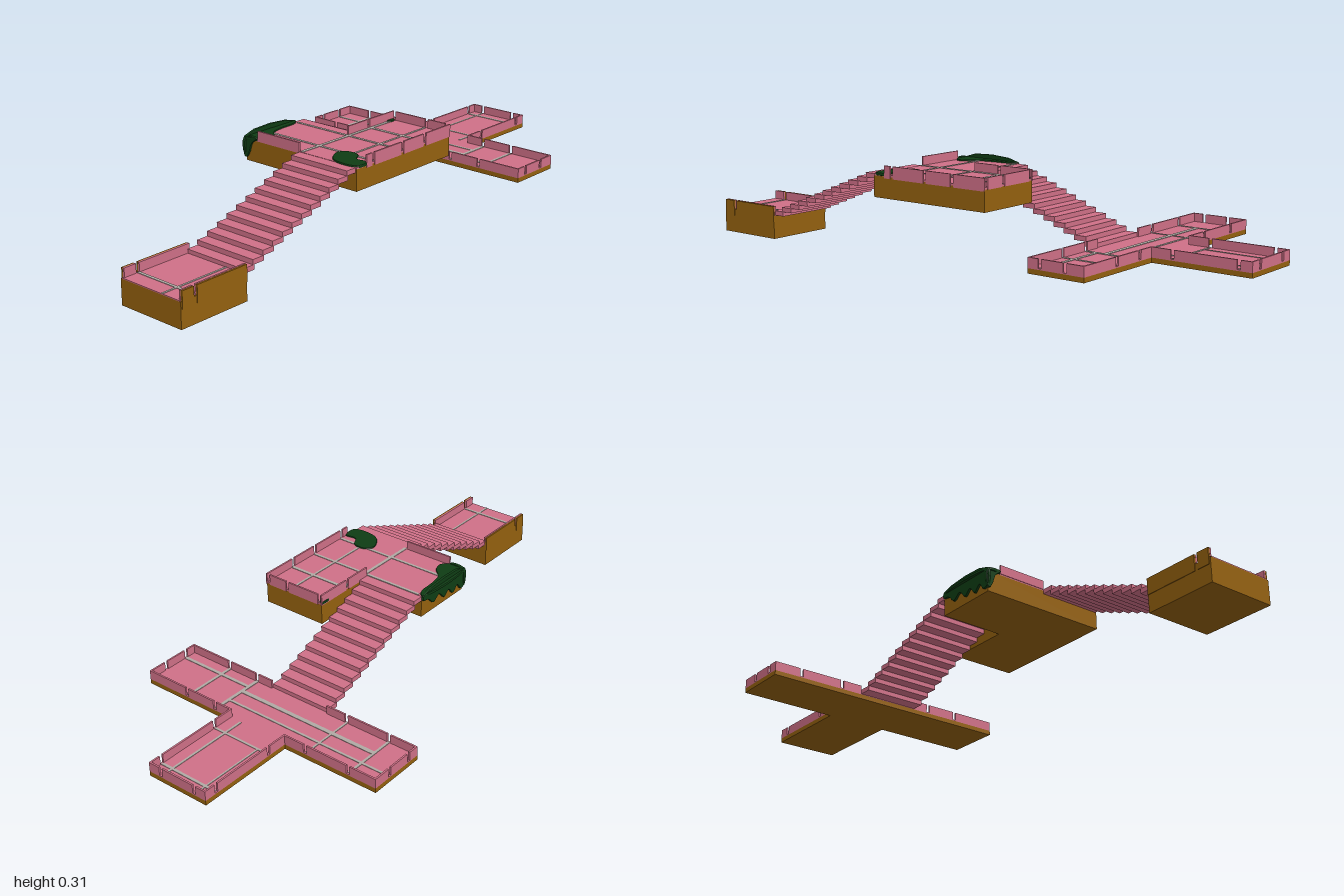
import * as THREE from 'three';

const mat = (color, extra = {}) => new THREE.MeshStandardMaterial({ color, ...extra });

export function createModel() {
  const root = new THREE.Group();
  const pink = mat(0xcf7087), brown = mat(0x94610f), grey = mat(0xb0aaa4), green = mat(0x0f3d14);

  const add = (parent, name, geo, material) => {
    const m = new THREE.Mesh(geo, material);
    m.name = name;
    parent.add(m);
    return m;
  };
  const group = (name) => {
    const g = new THREE.Group();
    g.name = name;
    root.add(g);
    return g;
  };
  // Box given by its limits on each axis
  const box = (parent, name, material, x0, x1, y0, y1, z0, z1) => {
    const g = new THREE.BoxGeometry(x1 - x0, y1 - y0, z1 - z0);
    g.translate((x0 + x1) / 2, (y0 + y1) / 2, (z0 + z1) / 2);
    return add(parent, name, g, material);
  };
  // Slab with a plan outline of [x, z] points
  const slab = (parent, name, material, pts, y0, y1) => {
    const shape = new THREE.Shape(pts.map(([x, z]) => new THREE.Vector2(x, -z)));
    const g = new THREE.ExtrudeGeometry(shape, { depth: y1 - y0, bevelEnabled: false });
    g.rotateX(-Math.PI / 2).translate(0, y0, 0);
    return add(parent, name, g, material);
  };
  // Parapet along one axis, broken by narrow gaps where joints meet it
  const T = 0.006, GAP = 0.012;
  const parapet = (parent, axis, from, to, at, y0, y1, gaps = [], material = pink) => {
    const cuts = gaps.filter((g) => g > from && g < to).sort((a, b) => a - b);
    let start = from;
    for (const c of [...cuts, to + GAP / 2]) {
      const end = c - GAP / 2;
      if (end > start) {
        if (axis === 'x') box(parent, 'parapet', material, start, end, y0, y1, at, at + T);
        else box(parent, 'parapet', material, at, at + T, y0, y1, start, end);
      }
      start = c + GAP / 2;
    }
  };
  // Pale joints on a floor: [x0, x1, z0, z1]
  const joints = (parent, y, list) => list.forEach(([x0, x1, z0, z1]) =>
    box(parent, 'floorJoint', grey, x0, x1, y - 0.001, y + 0.0015, z0, z1));
  // Straight flight of thin open treads rising from zLow to zHigh
  const stairs = (name, x0, x1, zLow, zHigh, yLow, yHigh, n) => {
    const g = group(name), dz = (zHigh - zLow) / n, dy = (yHigh - yLow) / n;
    for (let i = 0; i < n; i++) {
      const a = zLow + dz * i, b = a + dz * 1.12, y = yLow + dy * i;
      box(g, 'tread', pink, x0, x1, y, y + dy, Math.min(a, b), Math.max(a, b));
    }
  };

  // Front landing: brown block, side walls brown outside and pink inside
  const landing = group('frontLanding');
  box(landing, 'landingBase', brown, 0.11, 0.356, 0, 0.083, 0.745, 1);
  box(landing, 'landingFloor', pink, 0.115, 0.351, 0.083, 0.086, 0.745, 1);
  parapet(landing, 'z', 0.745, 0.995, 0.108, 0.06, 0.115, [0.945], brown);
  parapet(landing, 'z', 0.745, 0.995, 0.352, 0.06, 0.115, [0.945], brown);
  parapet(landing, 'z', 0.745, 0.995, 0.1145, 0.08, 0.1155, [0.945]);
  parapet(landing, 'z', 0.745, 0.995, 0.3455, 0.08, 0.1155, [0.945]);
  joints(landing, 0.086, [[0.277, 0.284, 0.75, 1], [0.12, 0.346, 0.938, 0.948]]);

  // Raised L-shaped platform
  const mid = group('upperPlatform');
  const ell = [[-0.115, 0.03], [0.115, 0.03], [0.115, -0.205], [0.352, -0.205], [0.352, 0.262], [-0.115, 0.262]];
  slab(mid, 'platformBase', brown, ell, 0.2, 0.272);
  slab(mid, 'platformFloor', pink, ell, 0.272, 0.278);
  const midZ = [-0.073, 0.04, 0.183], midX = [0.124, 0.26, 0.343];
  parapet(mid, 'z', -0.205, 0.215, 0.348, 0.266, 0.308, midZ);
  parapet(mid, 'x', 0.115, 0.354, -0.207, 0.27, 0.308, midX);
  parapet(mid, 'z', -0.205, 0.03, 0.113, 0.27, 0.308, midZ);
  parapet(mid, 'x', -0.065, 0.117, 0.258, 0.276, 0.308);
  joints(mid, 0.278, [
    [0.12, 0.348, -0.086, -0.074], [-0.1, 0.348, 0.03, 0.04], [-0.1, 0.348, 0.172, 0.182],
    [0.118, 0.13, -0.2, 0.26], [0.252, 0.26, -0.2, 0.2],
  ]);

  // Rear cross-shaped platform
  const cross = group('rearPlatform');
  const plan = [[-0.115, -1], [0.112, -1], [0.112, -0.658], [0.461, -0.658], [0.461, -0.456], [-0.464, -0.456],
    [-0.464, -0.658], [-0.115, -0.658]];
  slab(cross, 'crossBase', brown, plan, 0.065, 0.081);
  slab(cross, 'crossFloor', pink, plan, 0.081, 0.085);
  const armX = [-0.36, -0.195, 0.175, 0.295], stemX = [-0.07, 0.065], stemZ = [-0.955, -0.73], endZ = [-0.59, -0.5];
  const wall = (axis, a, b, at, gaps) => parapet(cross, axis, a, b, at, 0.083, 0.114, gaps);
  for (const [a, b] of [[-0.464, -0.115], [0.112, 0.461]]) {
    wall('x', a, b, -0.462, armX);
    wall('x', a, b, -0.658, armX);
  }
  wall('z', -0.658, -0.456, -0.464, endZ);
  wall('z', -0.658, -0.456, 0.455, endZ);
  wall('z', -1, -0.652, -0.115, stemZ);
  wall('z', -1, -0.652, 0.106, stemZ);
  wall('x', -0.115, 0.112, -1, stemX);
  joints(cross, 0.085, [
    [-0.458, 0.17, -0.597, -0.588], [-0.36, 0.17, -0.54, -0.525], [0.18, 0.455, -0.508, -0.496],
    [-0.364, -0.355, -0.652, -0.46], [-0.2, -0.193, -0.652, -0.46], [0.17, 0.182, -0.652, -0.46],
    [0.29, 0.3, -0.652, -0.46], [-0.074, -0.068, -0.994, -0.73], [0.06, 0.068, -0.994, -0.66],
    [-0.109, 0.106, -0.96, -0.95], [-0.109, 0.106, -0.734, -0.726],
  ]);

  // Two flights of stairs
  stairs('frontStairs', 0.118, 0.348, 0.752, 0.262, 0.083, 0.277, 12);
  stairs('rearStairs', -0.115, 0.112, -0.456, 0.03, 0.083, 0.277, 12);

  // Foliage patches with rounded outlines; local z is the thickness
  const ivy = group('foliage');
  const leafPatch = (name, pts, depth) => {
    const curve = new THREE.CatmullRomCurve3(pts.map(([a, b]) => new THREE.Vector3(a, b, 0)), true);
    const outline = curve.getPoints(48).slice(0, -1).map((p) => new THREE.Vector2(p.x, p.y));
    const g = new THREE.ExtrudeGeometry(new THREE.Shape(outline),
      { depth, bevelThickness: 0.003, bevelSize: 0.003, bevelOffset: -0.003, bevelSegments: 2 });
    return add(ivy, name, g, green);
  };
  const flat = (name, pts) => {
    const m = leafPatch(name, pts.map(([x, z]) => [x, -z]), 0.004);
    m.rotation.x = -Math.PI / 2;
    m.position.y = 0.276;
  };
  flat('cornerIvyTop', [[-0.118, 0.03], [-0.098, 0.05], [-0.092, 0.12], [-0.08, 0.17], [-0.05, 0.2], [-0.04, 0.235],
    [-0.065, 0.262], [-0.118, 0.268]]);
  flat('stairIvy', [[0.215, 0.19], [0.24, 0.165], [0.28, 0.17], [0.305, 0.205], [0.348, 0.205], [0.349, 0.258],
    [0.26, 0.26], [0.225, 0.225]]);
  flat('smallIvy', [[0.113, -0.203], [0.128, -0.198], [0.13, -0.175], [0.114, -0.168]]);
  // Hanging over the front edge
  leafPatch('frontIvy', [[-0.121, 0.215], [-0.121, 0.28], [-0.065, 0.283], [-0.088, 0.262], [-0.1, 0.23], [-0.112, 0.212]], 0.006)
    .position.z = 0.26;
  // Hanging ragged over the side edge
  const side = leafPatch('sideIvy', [[-0.268, 0.282], [-0.268, 0.22], [-0.245, 0.212], [-0.225, 0.235], [-0.2, 0.215],
    [-0.175, 0.24], [-0.15, 0.222], [-0.12, 0.248], [-0.09, 0.23], [-0.06, 0.255], [-0.032, 0.262], [-0.035, 0.282]], 0.005);
  side.rotation.y = Math.PI / 2;
  side.position.x = -0.12;

  return root;
}
